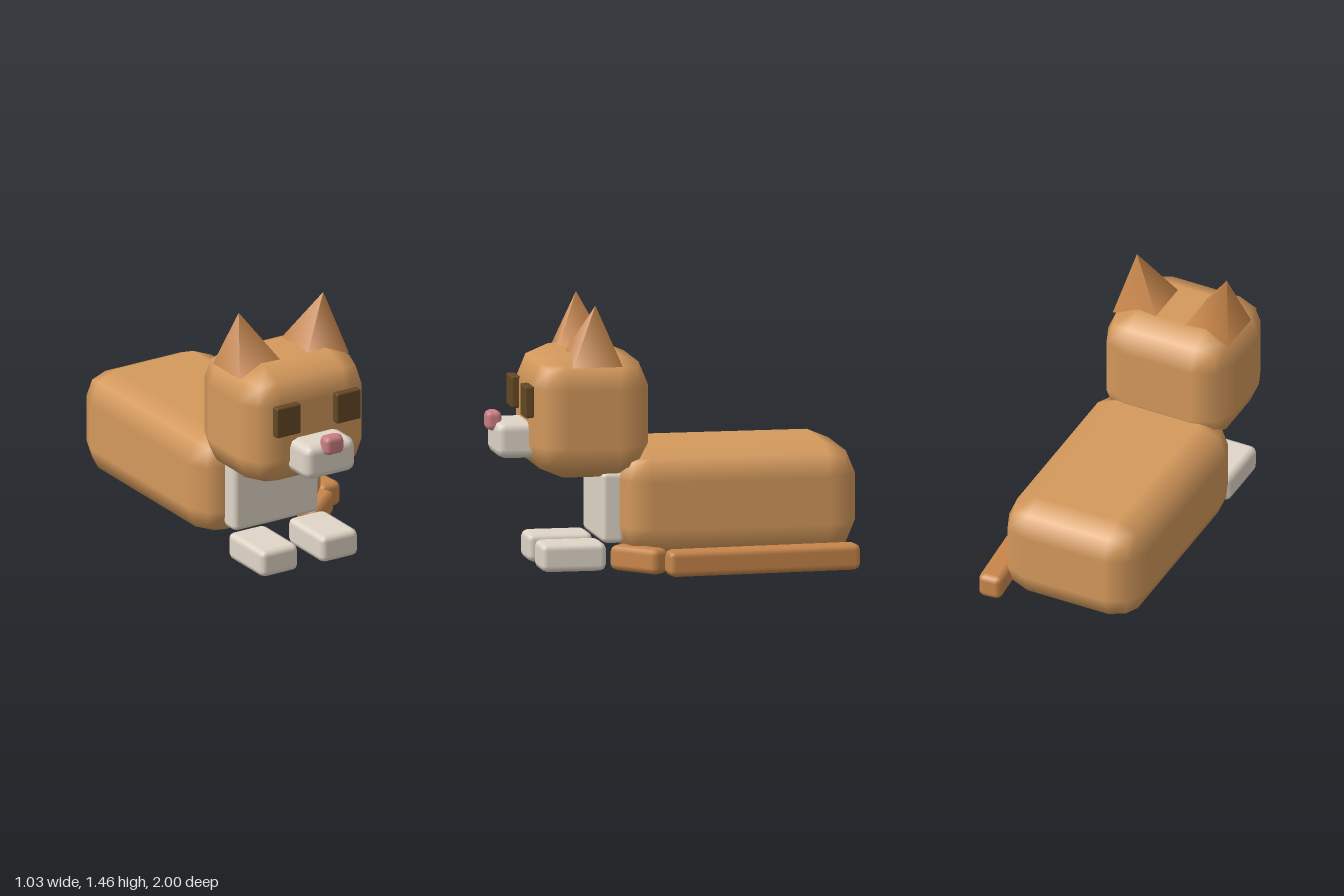
import * as THREE from 'three';
import { RoundedBoxGeometry } from 'three/addons/geometries/RoundedBoxGeometry.js';

export function createModel() {
  const group = new THREE.Group();
  const mat = (color) => new THREE.MeshStandardMaterial({ color });
  const fur = mat(0xd4995c);
  const darkFur = mat(0xc8864a);
  const cream = mat(0xe0d6c8);
  const brown = mat(0x644824);
  const pink = mat(0xcc7f84);
  const cx = -0.105; // the cat's own middle line

  const add = (name, geometry, material, x, y, z) => {
    const mesh = new THREE.Mesh(geometry, material);
    mesh.name = name;
    mesh.position.set(x, y, z);
    group.add(mesh);
    return mesh;
  };
  // soft block with chamfer-like rounding
  const block = (name, [w, h, d], r, material, x, y, z) =>
    add(name, new RoundedBoxGeometry(w, h, d, 1, r), material, x, y, z);

  // body, chest and head
  block('body', [0.83, 0.6, 1.32], 0.17, fur, cx, 0.37, -0.34);
  block('chest', [0.55, 0.39, 0.125], 0.03, cream, cx, 0.345, 0.3425);
  block('head', [0.77, 0.68, 0.65], 0.18, fur, cx, 0.85, 0.463);

  // face
  block('muzzle', [0.325, 0.2, 0.24], 0.05, cream, cx, 0.712, 0.842);
  block('nose', [0.12, 0.108, 0.086], 0.03, pink, cx, 0.808, 0.957);

  // paired parts, mirrored about the middle line
  for (const [side, s] of [['left', 1], ['right', -1]]) {
    block(side + 'Eye', [0.155, 0.175, 0.05], 0.01, brown, cx + s * 0.193, 0.938, 0.804);
    block(side + 'Paw', [0.24, 0.155, 0.36], 0.035, cream, cx + s * 0.193, 0.082, 0.565);

    // ear: four-sided cone, leaning outwards
    const cone = new THREE.ConeGeometry(0.193, 0.31, 4);
    cone.rotateY(Math.PI / 4);
    cone.translate(0, 0.155, 0);
    const ear = add(side + 'Ear', cone, darkFur, cx + s * 0.217, 1.155, 0.442);
    ear.rotation.z = -s * 0.18;
  }

  // tail: a long piece beside the body and a tip curling in front
  const tail = block('tail', [0.138, 0.143, 1.08], 0.035, darkFur, 0.402, 0.075, -0.438);
  tail.rotation.y = 0.075;
  const tip = block('tailTip', [0.125, 0.14, 0.33], 0.035, darkFur, 0.258, 0.075, 0.218);
  tip.rotation.y = -0.86;

  return group;
}
